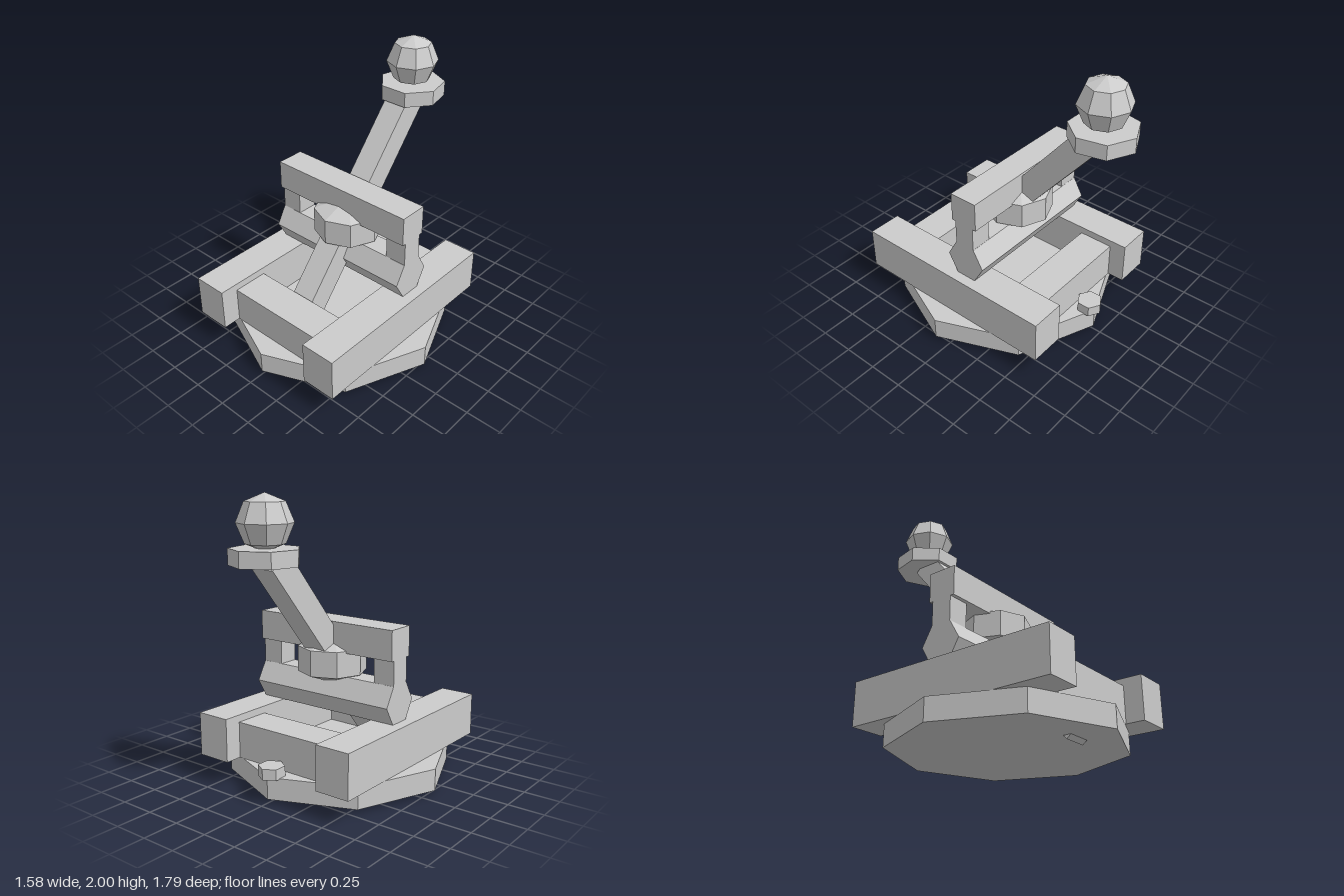
import * as THREE from 'three';

export function createModel() {
  const model = new THREE.Group();
  const material = new THREE.MeshStandardMaterial({ color: 0xcccccc, flatShading: true });

  function add(name, geometry, x, y, z) {
    const mesh = new THREE.Mesh(geometry, material);
    mesh.name = name;
    mesh.position.set(x, y, z);
    model.add(mesh);
    return mesh;
  }
  // box from its lower and upper limits
  const box = (name, [x0, x1], [y0, y1], [z0, z1]) =>
    add(name, new THREE.BoxGeometry(x1 - x0, y1 - y0, z1 - z0),
      (x0 + x1) / 2, (y0 + y1) / 2, (z0 + z1) / 2);
  // upright prism with a corner pointing along the start angle
  const prism = (name, sides, radius, y0, y1, z, start = 0) =>
    add(name, new THREE.CylinderGeometry(radius, radius, y1 - y0, sides, 1, false, start),
      0, (y0 + y1) / 2, z);

  // octagonal base plate
  prism('basePlate', 8, 0.79, 0.027, 0.18, 0.1);

  // chassis: two long rails and two cross beams
  box('leftRail', [0.385, 0.637], [0.18, 0.486], [-0.667, 0.87]);
  box('rightRail', [-0.637, -0.385], [0.18, 0.486], [-0.667, 0.87]);
  box('frontBeam', [-0.387, 0.387], [0.18, 0.435], [0.483, 0.738]);
  box('backBeam', [-0.387, 0.387], [0.18, 0.435], [-0.543, -0.288]);

  // hexagonal bolt on the back of the base
  prism('backBolt', 6, 0.09, 0.175, 0.25, -0.645);

  // upright frame: hexagonal axle, two posts and a top bar
  const axle = add('axle', new THREE.CylinderGeometry(0.152, 0.152, 1.124, 6), 0, 0.616, 0);
  axle.rotation.z = Math.PI / 2;
  // turn the prism so its corners point to the front and back
  axle.geometry.rotateY(0);
  for (const [name, s] of [['leftPost', 1], ['rightPost', -1]]) {
    add(name, new THREE.BoxGeometry(0.157, 0.2, 0.15), s * 0.4835, 0.835, 0);
  }
  box('topBar', [-0.562, 0.562], [0.92, 1.127], [-0.103, 0.103]);

  // faceted collar around the arm
  add('collar', new THREE.SphereGeometry(0.277, 8, 3), 0, 0.845, 0).scale.y = 0.65;

  // slanted throwing arm
  const arm = add('arm', new THREE.BoxGeometry(0.175, 2.008, 0.18), 0, 0.825, 0.017);
  arm.rotation.x = -0.702;

  // seven-sided cup plate with a faceted ball on it
  prism('cupPlate', 7, 0.23, 1.56, 1.665, -0.67, Math.PI);
  add('ball', new THREE.SphereGeometry(0.181, 8, 4), 0, 1.819, -0.665);

  return model;
}
